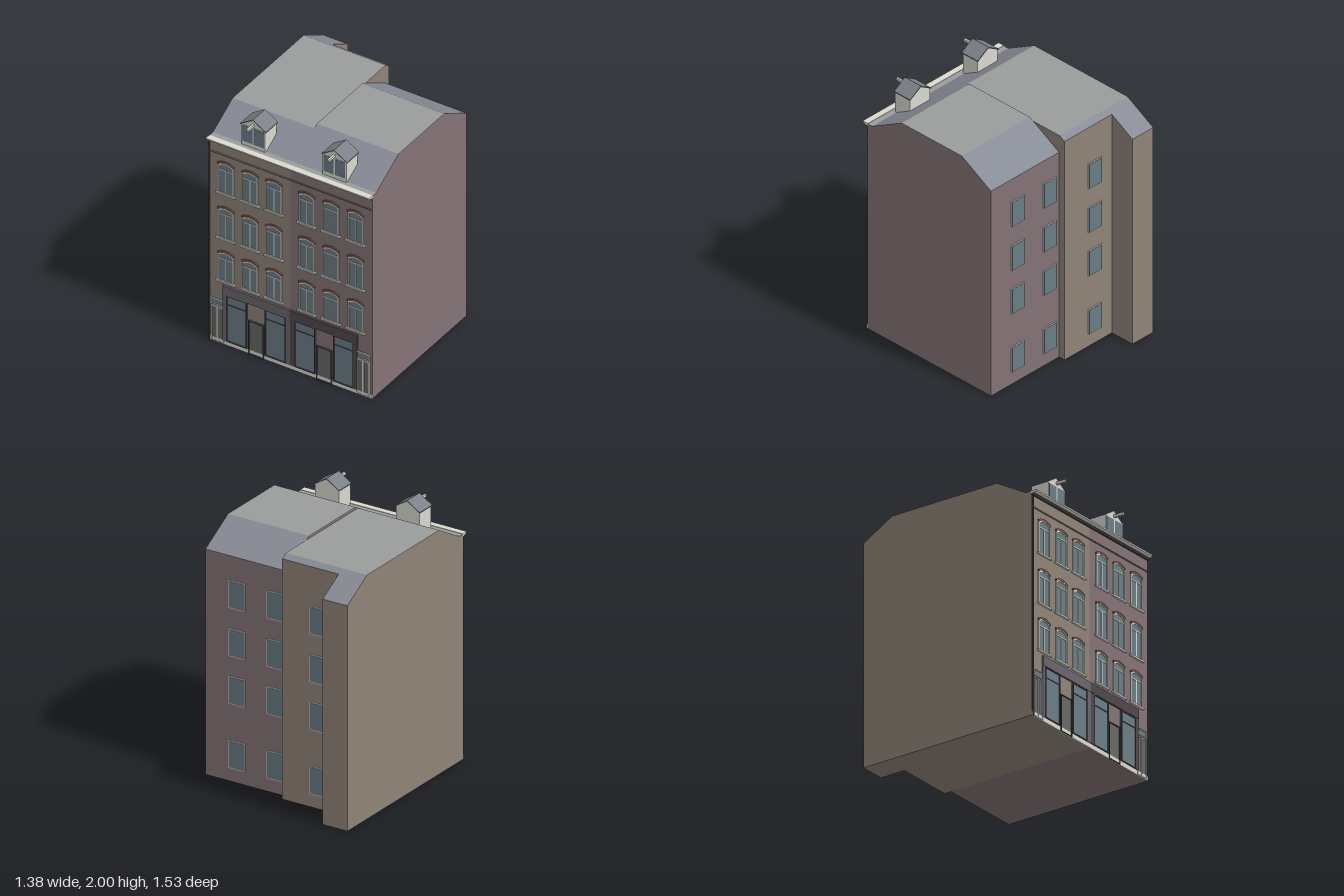
import * as THREE from 'three';

const C = {
  brickA: 0x8f8378, brickB: 0x847376, roof: 0x9a9d9b, slope: 0x888c96, cream: 0xd9d9d0,
  glass: 0x6a7d85, arch: 0x80594c, door: 0x686866, dark: 0x4c4548, fasciaA: 0x6c666e, fasciaB: 0x51484c, dormerRoof: 0x7c8088,
};
const mats = {};
const mat = (k) => (mats[k] ??= new THREE.MeshStandardMaterial({ color: C[k] }));
const FRONT = 0.72;

function add(parent, name, geo, color) {
  const m = new THREE.Mesh(geo, mat(color));
  m.name = name;
  parent.add(m);
  return m;
}

// Box given by its limits
function box(parent, name, color, x0, x1, y0, y1, z0, z1) {
  const g = new THREE.BoxGeometry(x1 - x0, y1 - y0, z1 - z0);
  g.translate((x0 + x1) / 2, (y0 + y1) / 2, (z0 + z1) / 2);
  return add(parent, name, g, color);
}

// Side profile of [z, y] points, extruded from x0 to x1
function profile(parent, name, color, pts, x0, x1) {
  const shape = new THREE.Shape(pts.map(([z, y]) => new THREE.Vector2(z, y)));
  const g = new THREE.ExtrudeGeometry(shape, { depth: x1 - x0, bevelEnabled: false });
  g.rotateY(-Math.PI / 2).translate(x1, 0, 0);
  return add(parent, name, g, color);
}

// Thin roof covering over one edge of the profile
function roofPanel(parent, name, color, a, b, x0, x1) {
  const t = 0.004;
  profile(parent, name, color, [a, b, [b[0], b[1] + t], [a[0], a[1] + t]], x0, x1);
}

// Shape in the facade plane, extruded forward from z0
function facadeShape(parent, name, color, shape, x, y, z0, depth) {
  const g = new THREE.ExtrudeGeometry(shape, { depth, bevelEnabled: false, curveSegments: 8 });
  g.translate(x, y, z0);
  return add(parent, name, g, color);
}

// Upright outline with a curved head; h is the height at the crown
function arched(w, h, rise, inset = 0, Type = THREE.Shape) {
  const a = w / 2 - inset, s = h - rise - inset;
  const p = new Type();
  p.moveTo(-a, inset);
  p.lineTo(a, inset);
  p.lineTo(a, s);
  p.quadraticCurveTo(0, s + 2 * rise, -a, s);
  p.closePath();
  return p;
}

function archedWindow(parent, x, sill, h, transom) {
  const g = new THREE.Group();
  g.name = 'archedWindow';
  const w = 0.13, rise = 0.02, side = h - rise;
  facadeShape(g, 'windowGlass', 'glass', arched(w, h, rise, 0.004), x, sill, FRONT, 0.003);
  const frame = arched(w, h, rise);
  frame.holes.push(arched(w, h, rise, 0.008, THREE.Path));
  facadeShape(g, 'windowFrame', 'cream', frame, x, sill, FRONT, 0.008);
  box(g, 'transom', 'cream', x - w / 2, x + w / 2, transom - 0.004, transom + 0.004, FRONT, FRONT + 0.007);
  box(g, 'mullion', 'cream', x - 0.004, x + 0.004, sill, transom, FRONT, FRONT + 0.007);
  box(g, 'sill', 'cream', x - 0.08, x + 0.08, sill - 0.011, sill + 0.002, FRONT, FRONT + 0.016);
  // Brick arch over the head
  const a = new THREE.Shape();
  a.moveTo(-w / 2, side);
  a.quadraticCurveTo(0, side + 2 * rise, w / 2, side);
  a.lineTo(w / 2 + 0.007, side + 0.014);
  a.quadraticCurveTo(0, side + 0.016 + 2 * rise, -w / 2 - 0.007, side + 0.014);
  facadeShape(g, 'brickArch', 'arch', a, x, sill, FRONT, 0.011);
  parent.add(g);
}

// Rectangular frame with a panel behind it
function framedPanel(parent, name, frameColor, panelColor, x0, x1, y0, y1, bar, depth) {
  const z = FRONT;
  box(parent, name + 'Panel', panelColor, x0, x1, y0, y1, z, z + depth * 0.4);
  box(parent, name + 'Frame', frameColor, x0, x0 + bar, y0, y1, z, z + depth);
  box(parent, name + 'Frame', frameColor, x1 - bar, x1, y0, y1, z, z + depth);
  box(parent, name + 'Frame', frameColor, x0 + bar, x1 - bar, y0, y0 + bar, z, z + depth);
  box(parent, name + 'Frame', frameColor, x0 + bar, x1 - bar, y1 - bar, y1, z, z + depth);
}

// Shop front on one side; s mirrors it about x = 0
function shopFront(parent, s, fascia) {
  const g = new THREE.Group();
  g.name = 'shopFront';
  const span = (a, b) => (s > 0 ? [a, b] : [-b, -a]);
  box(g, 'fascia', fascia, ...span(0, 0.568), 0.435, 0.51, FRONT, FRONT + 0.015);
  for (const [a, b] of [[0, 0.042], [0.534, 0.568]])
    box(g, 'shopPilaster', fascia, ...span(a, b), 0.036, 0.435, FRONT, FRONT + 0.012);
  for (const [a, b] of [[0.038, 0.212], [0.365, 0.538]]) {
    framedPanel(g, 'shopWindow', 'dark', 'glass', ...span(a, b), 0.036, 0.435, 0.007, 0.013);
    box(g, 'shopTransom', 'dark', ...span(a, b), 0.352, 0.358, FRONT, FRONT + 0.01);
  }
  framedPanel(g, 'shopDoor', 'dark', 'door', ...span(0.222, 0.352), 0, 0.29, 0.006, 0.013);
  // House door with two leaves and a fanlight
  framedPanel(g, 'houseDoor', 'cream', 'door', ...span(0.561, 0.617), 0.006, 0.31, 0.008, 0.011);
  framedPanel(g, 'houseDoor', 'cream', 'door', ...span(0.613, 0.67), 0.006, 0.31, 0.008, 0.011);
  framedPanel(g, 'fanlight', 'cream', 'glass', ...span(0.558, 0.674), 0.318, 0.372, 0.006, 0.011);
  parent.add(g);
}

function dormer(parent, x) {
  const g = new THREE.Group();
  g.name = 'dormer';
  const w = 0.1, z0 = 0.535, z1 = 0.682, eave = 1.93, top = 1.99;
  const gable = new THREE.Shape([[-w, 1.755], [w, 1.755], [w, eave], [0, top], [-w, eave]].map((p) => new THREE.Vector2(...p)));
  facadeShape(g, 'dormerWalls', 'cream', gable, x, 0, z0, z1 - z0);
  for (const s of [-1, 1]) {
    // Roof slope
    const slab = new THREE.Shape([[0, top], [s * 0.108, eave - 0.006], [s * 0.108, eave + 0.002], [0, 2]].map((p) => new THREE.Vector2(...p)));
    facadeShape(g, 'dormerRoof', 'dormerRoof', slab, x, 0, z0 - 0.008, z1 - z0 + 0.012);
    // Casement
    const c = x + s * 0.049;
    box(g, 'casementFrame', 'cream', c - 0.05, c + 0.05, 1.78, 1.93, z1, z1 + 0.002);
    box(g, 'casementGlass', 'glass', c - 0.043, c + 0.043, 1.788, 1.923, z1, z1 + 0.004);
  }
  box(g, 'hoistBeam', 'cream', x - 0.008, x + 0.008, 1.942, 1.962, z1, 0.765);
  parent.add(g);
}

function backWindow(parent, x, y, wallZ) {
  const g = new THREE.Group();
  g.name = 'backWindow';
  box(g, 'backWindowFrame', 'cream', x - 0.068, x + 0.068, y, y + 0.215, wallZ - 0.008, wallZ);
  box(g, 'backWindowGlass', 'glass', x - 0.063, x + 0.063, y + 0.005, y + 0.209, wallZ - 0.01, wallZ);
  parent.add(g);
}

// Body of one house with its roof; pts run from the front eave to the back eave
function houseBody(parent, name, brick, x0, x1, pts) {
  const back = pts[pts.length - 1][0];
  profile(parent, name, brick, [[FRONT, 0], [FRONT, 1.75], ...pts, [back, 0]], x0, x1);
  const parts = ['eaveStrip', 'frontSlope', 'flatRoof', 'backSlope'];
  const all = [[FRONT, 1.75], ...pts];
  parts.forEach((p, i) => roofPanel(parent, p, i % 2 ? 'slope' : 'roof', all[i], all[i + 1], x0, x1));
}

export function createModel() {
  const root = new THREE.Group();
  root.name = 'terraceHouses';

  // Two houses, one with a rear wing
  houseBody(root, 'leftHouse', 'brickB', 0, 0.69, [[0.67, 1.75], [0.38, 1.915], [-0.215, 1.915], [-0.505, 1.75]]);
  houseBody(root, 'rightHouse', 'brickA', -0.48, 0, [[0.67, 1.75], [0.413, 1.895], [-0.512, 1.895], [-0.56, 1.867]]);
  houseBody(root, 'rightHouseWing', 'brickA', -0.69, -0.48, [[0.67, 1.75], [0.413, 1.895], [-0.512, 1.895], [-0.765, 1.75]]);

  // Cornice, string course and plinth
  profile(root, 'cornice', 'cream', [[0.715, 1.738], [0.745, 1.738], [0.765, 1.746], [0.765, 1.757], [0.715, 1.757]], -0.69, 0.69);
  profile(root, 'corniceMoulding', 'dark', [[0.715, 1.723], [0.73, 1.723], [0.74, 1.738], [0.715, 1.738]], -0.69, 0.69);
  box(root, 'stringCourse', 'brickA', -0.69, 0, 1.63, 1.638, FRONT, 0.728);
  box(root, 'stringCourse', 'brickB', 0, 0.69, 1.63, 1.638, FRONT, 0.728);
  box(root, 'plinth', 'cream', -0.69, 0.69, 0, 0.036, FRONT, 0.726);

  // Downpipe at the corner
  const pipe = new THREE.CylinderGeometry(0.006, 0.006, 1.73, 8);
  pipe.translate(-0.683, 0.865, FRONT + 0.008);
  add(root, 'downpipe', pipe, 'dark');

  // Front windows: sill, height, transom
  const floors = [[0.543, 0.25, 0.735], [0.912, 0.263, 1.12], [1.302, 0.262, 1.502]];
  for (const x of [-0.545, -0.34, -0.138, 0.138, 0.343, 0.55])
    for (const f of floors) archedWindow(root, x, ...f);

  shopFront(root, -1, 'fasciaA');
  shopFront(root, 1, 'fasciaB');
  dormer(root, -0.341);
  dormer(root, 0.345);

  // Back windows
  for (const y of [0.105, 0.605, 0.975, 1.35]) {
    backWindow(root, 0.42, y, -0.505);
    backWindow(root, 0.095, y, -0.505);
    backWindow(root, -0.305, y, -0.56);
  }
  return root;
}
